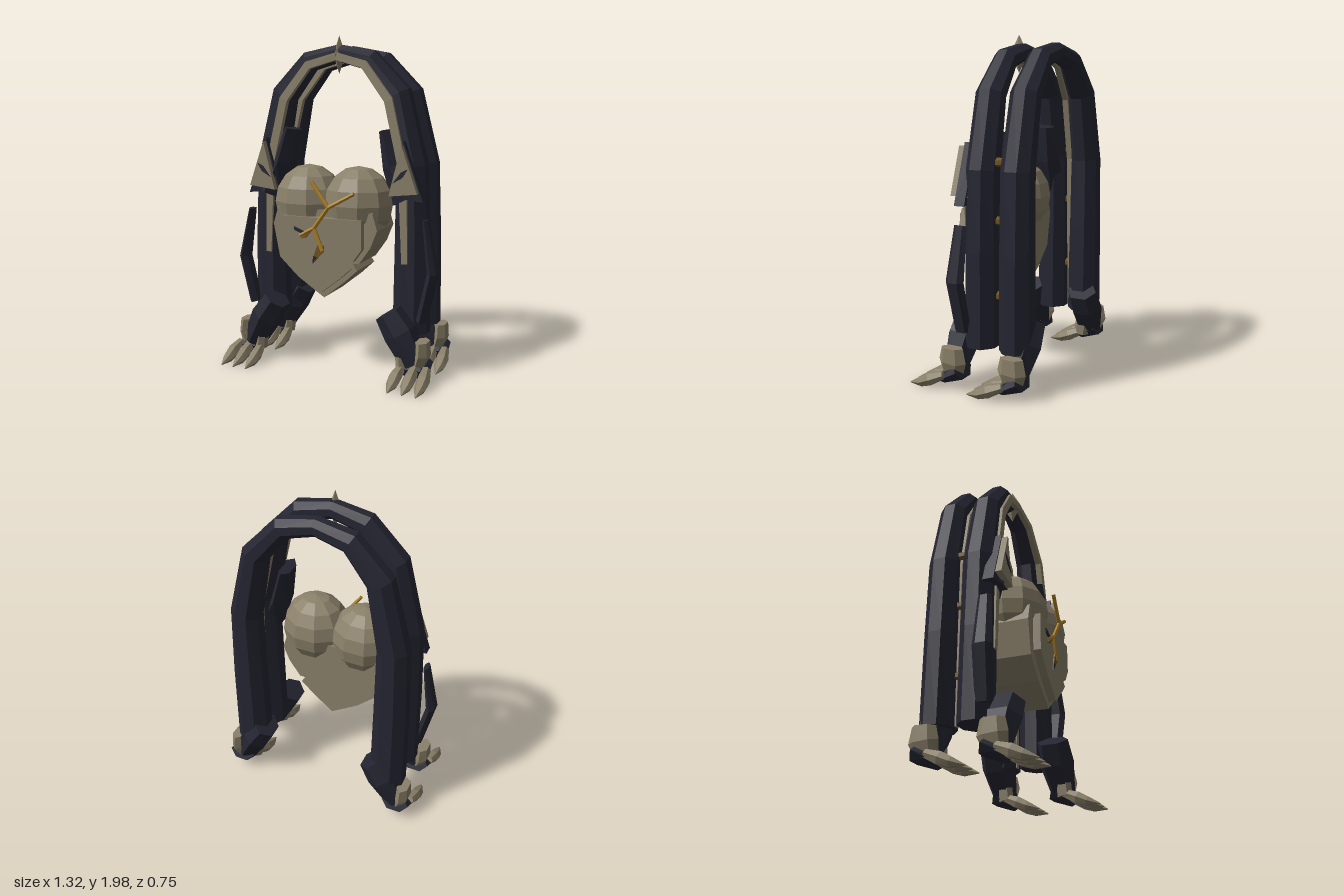
import * as THREE from 'three';

const mat = (name, hex) => {
  const m = new THREE.MeshStandardMaterial({ color: hex, flatShading: true });
  m.name = name;
  return m;
};

export function createModel() {
  const root = new THREE.Group();
  root.name = 'clawedArches';
  const dark = mat('darkHide', 0x252532);
  const bone = mat('bone', 0x8a8069);
  const gold = mat('gold', 0xb08428);
  const bronze = mat('bronze', 0x6e5222);

  const add = (name, geo, material, parent = root) => {
    const m = new THREE.Mesh(geo, material);
    m.name = name;
    parent.add(m);
    return m;
  };

  // Faceted tube through points [x, y, z, radius across, radius along ref]
  const loft = (pts, sides, ref = new THREE.Vector3(0, 0, 1)) => {
    const P = pts.map((p) => new THREE.Vector3(p[0], p[1], p[2]));
    const k = 1 / Math.cos(Math.PI / sides);
    const pos = [], idx = [];
    P.forEach((p, i) => {
      const t = new THREE.Vector3();
      if (i > 0) t.add(p.clone().sub(P[i - 1]).normalize());
      if (i < P.length - 1) t.add(P[i + 1].clone().sub(p).normalize());
      t.normalize();
      const u = t.clone().cross(ref).normalize();
      const w = u.clone().cross(t);
      for (let j = 0; j < sides; j++) {
        const a = ((j + 0.5) / sides) * Math.PI * 2;
        const v = p.clone()
          .addScaledVector(u, Math.cos(a) * pts[i][3] * k)
          .addScaledVector(w, Math.sin(a) * pts[i][4] * k);
        pos.push(v.x, v.y, v.z);
      }
    });
    const last = (P.length - 1) * sides;
    for (let i = 0; i < P.length - 1; i++) {
      for (let j = 0; j < sides; j++) {
        const a = i * sides + j, b = i * sides + ((j + 1) % sides);
        idx.push(a, a + sides, b + sides, a, b + sides, b);
      }
    }
    for (let j = 1; j < sides - 1; j++) {
      idx.push(0, j, j + 1, last, last + j + 1, last + j);
    }
    const g = new THREE.BufferGeometry();
    g.setAttribute('position', new THREE.Float32BufferAttribute(pos, 3));
    g.setIndex(idx);
    const flat = g.toNonIndexed();
    flat.computeVertexNormals();
    return flat;
  };

  // Flat outline given thickness from z0 to z1
  const plate = (pts, z0, z1) => {
    const s = new THREE.Shape(pts.map((p) => new THREE.Vector2(p[0], p[1])));
    return new THREE.ExtrudeGeometry(s, { depth: z1 - z0, bevelEnabled: false }).translate(0, 0, z0);
  };
  const flip = (pts, s) => pts.map((p) => [p[0] * s, ...p.slice(1)]);
  const bothSides = (half) => [...flip(half, -1).reverse(), ...half.slice(half[0][0] === 0 ? 1 : 0)];

  // Two tall arches, thin at the crown and thick at the legs, with a bone inlay
  const arch = (name, z, inlayEnd) => {
    const half = [
      [0, 1.9, z, 0.05, 0.055], [0.195, 1.855, z, 0.06, 0.066], [0.365, 1.66, z, 0.075, 0.08],
      [0.455, 1.25, z, 0.088, 0.088], [0.462, 0.8, z, 0.098, 0.09], [0.462, 0.27, z, 0.105, 0.092],
    ];
    add(name, loft(bothSides(half), 8), dark);
    const inlay = [
      [0, 1.88, z + 0.058, 0.022, 0.014], [0.18, 1.83, z + 0.068, 0.024, 0.016],
      [0.335, 1.63, z + 0.08, 0.026, 0.018], [0.425, 1.25, z + 0.085, 0.026, 0.018],
      [0.445, inlayEnd, z + 0.09, 0.018, 0.01],
    ];
    add(name + 'Inlay', loft(bothSides(inlay), 4), bone);
  };
  arch('frontArch', -0.02, 0.69);
  arch('backArch', -0.235, 0.28);

  // Crown spike
  add('crownSpike', new THREE.OctahedronGeometry(1).scale(0.04, 0.11, 0.06), bone).position.set(0, 1.89, 0);

  // Foot with slanted wrist, cuff, palm and three claws
  const xAxis = new THREE.Vector3(1, 0, 0);
  const foot = (name, s, z) => {
    const g = new THREE.Group();
    g.name = name;
    root.add(g);
    add('wrist', loft(flip([
      [0.365, 0.405, z, 0.07, 0.085], [0.44, 0.29, z, 0.085, 0.095], [0.53, 0.12, z + 0.01, 0.065, 0.065],
    ], s), 6), dark, g);
    add('cuff', loft(flip([
      [0.575, 0.26, z, 0.035, 0.06], [0.575, 0.18, z, 0.04, 0.075], [0.555, 0.12, z + 0.01, 0.04, 0.06],
    ], s), 6), bone, g);
    add('innerKnuckle', loft(flip([
      [0.46, 0.16, z + 0.03, 0.03, 0.045], [0.465, 0.09, z + 0.04, 0.03, 0.04],
    ], s), 6), bone, g);
    add('palm', loft(flip([
      [0.54, 0.13, z - 0.045, 0.05, 0.075], [0.54, 0.075, z + 0.06, 0.03, 0.08],
    ], s), 6, xAxis), dark, g);
    [0.455, 0.54, 0.62].forEach((x, i) => {
      const base = i === 1 ? 0.54 : x + (0.54 - x) * 0.12;
      add('claw', loft(flip([
        [base, 0.105, z + 0.035, 0.022, 0.024], [x, 0.07, z + 0.12, 0.034, 0.034],
        [x, 0.045, z + 0.18, 0.027, 0.03], [x, 0.025, z + 0.258, 0.003, 0.003],
      ], s), 6, xAxis), bone, g);
    });
  };

  for (const s of [1, -1]) {
    const side = s > 0 ? 'left' : 'right';
    foot(side + 'FrontFoot', s, 0.117);
    foot(side + 'BackFoot', s, -0.26);

    // Shoulder strut and its triangular guard
    add(side + 'ShoulderStrut', loft(flip([
      [0.305, 1.455, 0, 0.035, 0.08], [0.36, 1.25, 0.01, 0.06, 0.09], [0.45, 1.065, 0.015, 0.09, 0.092],
    ], s), 6), dark);
    add(side + 'GuardBack', plate(flip([[0.44, 1.4], [0.56, 1.06], [0.35, 1.085]], s), 0.04, 0.105), dark);
    add(side + 'Guard', plate(flip([[0.44, 1.38], [0.535, 1.11], [0.365, 1.09]], s), 0.105, 0.142), bone);
    add(side + 'GuardSlit', plate(flip([[0.48, 1.25], [0.44, 1.23], [0.39, 1.165], [0.45, 1.2]], s), 0.142, 0.146), dark);

    // Bent outer elbow blade
    add(side + 'ElbowBlade', loft(flip([
      [0.565, 0.955, 0.06, 0.015, 0.035], [0.615, 0.65, 0.07, 0.028, 0.05], [0.55, 0.36, 0.06, 0.028, 0.045],
    ], s), 6), dark);

    // Pegs joining the two arches
    for (const y of [1.3, 0.98, 0.56]) {
      const peg = add(side + 'Peg', new THREE.CylinderGeometry(0.025, 0.025, 0.12, 6).rotateX(Math.PI / 2), bronze);
      peg.position.set(0.455 * s, y, -0.13);
    }

    // Heart lobes
    add(side + 'HeartLobe', new THREE.SphereGeometry(1, 10, 8).scale(0.212, 0.22, 0.19), bone)
      .position.set(0.16 * s, 1.03, 0.08);
  }

  // Heart body and raised front plate, chipped on one edge
  add('heartBody', plate([
    [-0.3, 1.0], [-0.33, 0.9], [-0.29, 0.7], [-0.17, 0.59], [0, 0.48], [0.13, 0.585], [0.21, 0.66],
    [0.18, 0.7], [0.22, 0.7], [0.29, 0.8], [0.33, 0.9], [0.3, 1.0],
  ], -0.05, 0.22), bone);
  add('heartPlate', plate([
    [-0.25, 0.96], [-0.25, 0.74], [-0.13, 0.62], [0, 0.52], [0.12, 0.615], [0.18, 0.67], [0.15, 0.69],
    [0.2, 0.72], [0.25, 0.79], [0.25, 0.96],
  ], 0.22, 0.264), bone);

  // Gold seam branching over the heart
  [
    [[-0.05, 1.17, 0.28], [0.053, 1.025, 0.278]],
    [[0.206, 1.11, 0.265], [0.053, 1.025, 0.278]],
    [[0.053, 1.025, 0.278], [-0.04, 0.9, 0.272]],
    [[-0.04, 0.9, 0.272], [-0.13, 0.85, 0.268]],
    [[-0.04, 0.9, 0.272], [0.012, 0.77, 0.268]],
  ].forEach(([a, b]) => add('goldSeam', loft([[...a, 0.01, 0.01], [...b, 0.011, 0.01]], 6), gold));
  add('seamShard', plate([[0.02, 0.8], [0.02, 0.765], [-0.04, 0.7], [-0.045, 0.73], [-0.02, 0.8]], 0.264, 0.271), bronze);
  add('seamShardSmall', plate([[-0.05, 0.89], [-0.09, 0.84], [-0.13, 0.83]], 0.264, 0.27), bronze);
  add('crackTip', plate([[-0.02, 0.73], [-0.05, 0.69], [-0.045, 0.735]], 0.264, 0.273), dark);
  add('crackSide', plate([[-0.17, 0.9], [-0.09, 0.87], [-0.1, 0.855], [-0.165, 0.88]], 0.264, 0.273), dark);

  return root;
}
